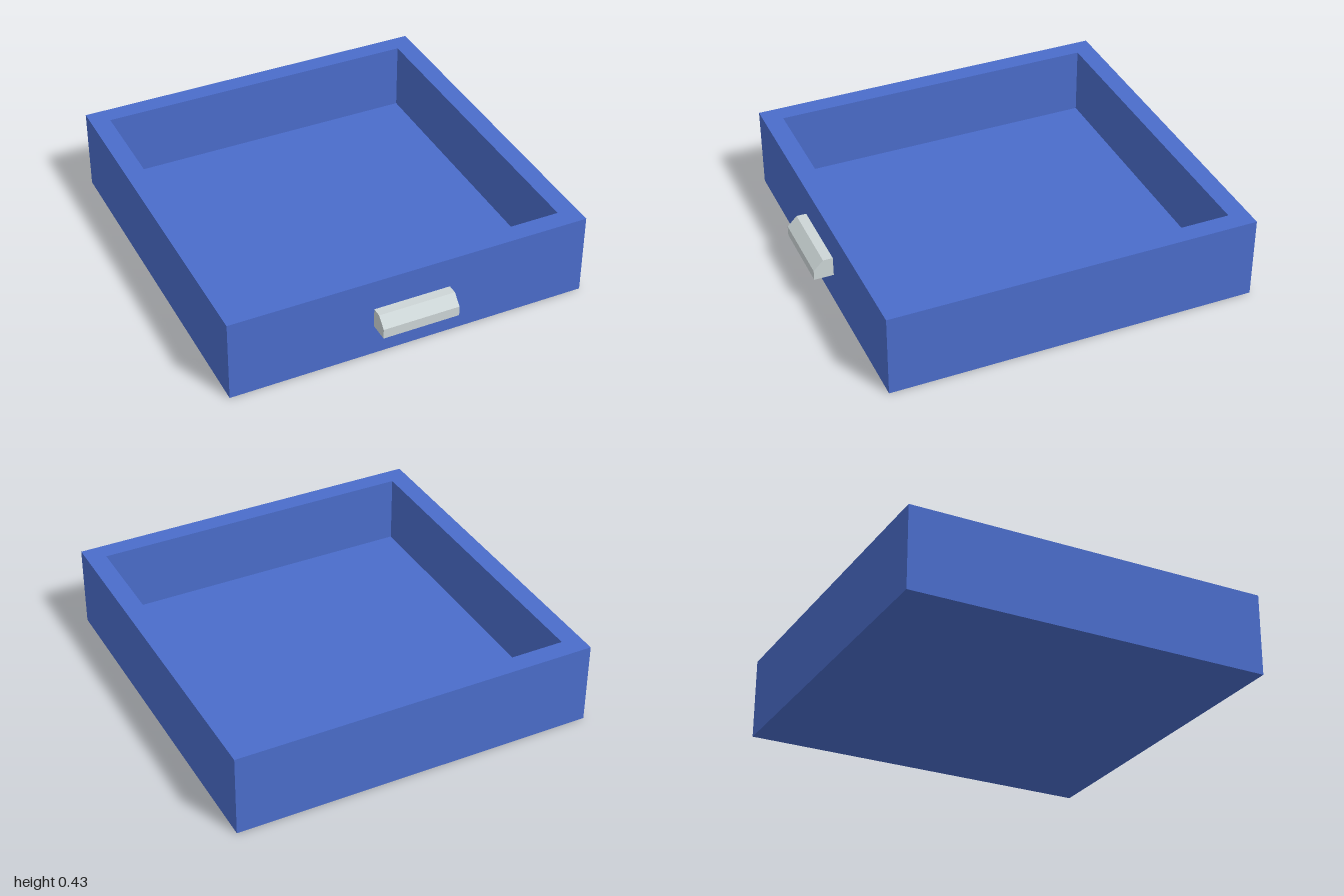
import * as THREE from 'three';

const WIDTH = 1.88, DEPTH = 1.9, HEIGHT = 0.43, WALL = 0.1, FLOOR = 0.07;
const CENTRE_Z = -0.05; // the tray sits back to leave room for the handle

function rectangle(PathType, w, d) {
  return new PathType([[-1, -1], [1, -1], [1, 1], [-1, 1]].map(
    ([x, y]) => new THREE.Vector2(x * w / 2, y * d / 2)));
}

export function createModel() {
  const blue = new THREE.MeshStandardMaterial({ color: 0x4a6cca });
  blue.name = 'drawer blue';
  const grey = new THREE.MeshStandardMaterial({ color: 0xccd5d6 });
  grey.name = 'handle grey';

  const model = new THREE.Group();
  model.name = 'drawer';
  const add = (name, geometry, material) => {
    const mesh = new THREE.Mesh(geometry, material);
    mesh.name = name;
    model.add(mesh);
    return mesh;
  };

  // Four walls as one mitre-free frame
  const innerWidth = WIDTH - 2 * WALL, innerDepth = DEPTH - 2 * WALL;
  const outline = rectangle(THREE.Shape, WIDTH, DEPTH);
  outline.holes.push(rectangle(THREE.Path, innerWidth, innerDepth));
  const walls = new THREE.ExtrudeGeometry(outline, { depth: HEIGHT, bevelEnabled: false });
  walls.rotateX(-Math.PI / 2);
  add('walls', walls, blue).position.z = CENTRE_Z;

  // Floor panel fitted inside the frame
  add('floor', new THREE.BoxGeometry(innerWidth, FLOOR, innerDepth), blue)
    .position.set(0, FLOOR / 2, CENTRE_Z);

  // Handle: chamfered bar, profile drawn as (z, y) and extruded along x
  const profile = new THREE.Shape([
    [0.9, 0.165], [1, 0.165], [1, 0.217], [0.95, 0.267], [0.9, 0.267],
  ].map(([z, y]) => new THREE.Vector2(z, y)));
  const handle = new THREE.ExtrudeGeometry(profile, { depth: 0.4, bevelEnabled: false });
  handle.rotateY(-Math.PI / 2);
  add('handle', handle, grey).position.x = 0.2;

  return model;
}
